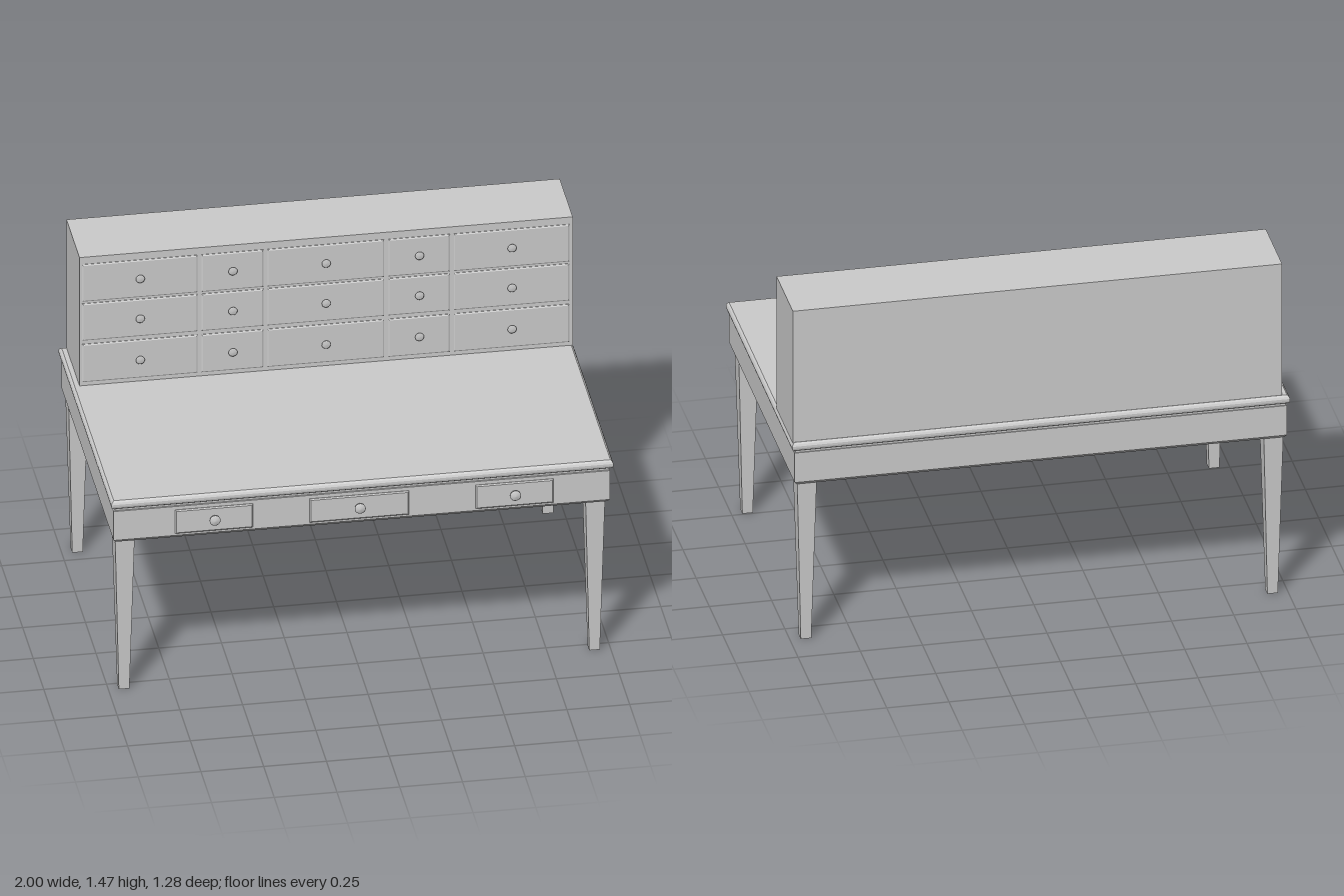
import * as THREE from 'three';

const material = new THREE.MeshStandardMaterial({ color: 0xcccccc });

// Skin a run of rectangles [y, x0, x1, z0, z1]; optionally cap both ends.
function loft(sections, caps = true) {
  const pos = [];
  const rings = sections.map(([y, x0, x1, z0, z1]) => [[x0, y, z1], [x1, y, z1], [x1, y, z0], [x0, y, z0]]);
  const quad = (a, b, c, d) => pos.push(...a, ...b, ...c, ...a, ...c, ...d);
  for (let s = 0; s < rings.length - 1; s++) {
    for (let i = 0; i < 4; i++) {
      const j = (i + 1) % 4;
      quad(rings[s][i], rings[s][j], rings[s + 1][j], rings[s + 1][i]);
    }
  }
  if (caps) {
    const [a, b, c, d] = rings[0];
    quad(d, c, b, a);
    quad(...rings[rings.length - 1]);
  }
  const geometry = new THREE.BufferGeometry();
  geometry.setAttribute('position', new THREE.Float32BufferAttribute(pos, 3));
  geometry.computeVertexNormals();
  return geometry;
}

function add(parent, name, geometry, x = 0, y = 0, z = 0) {
  const mesh = new THREE.Mesh(geometry, material);
  mesh.name = name;
  mesh.position.set(x, y, z);
  parent.add(mesh);
  return mesh;
}

// Rectangle inset evenly on all sides
const inset = (y, [x0, x1, z0, z1], d) => [y, x0 + d, x1 - d, z0 + d, z1 - d];

// Mushroom knob pointing to +z
function knobGeometry(r, depth) {
  const profile = [[0.6, 0], [0.45, 0.2], [0.45, 0.4], [0.95, 0.55], [1, 0.75], [0.8, 0.93], [0, 1]]
    .map(([a, b]) => new THREE.Vector2(a * r, b * depth));
  return new THREE.LatheGeometry(profile, 20).rotateX(Math.PI / 2);
}

// Bevelled drawer front with its knob
function addDrawer(parent, [x0, x1], [y0, y1], z, knobX, knobY, knob, depth) {
  const drawer = new THREE.Group();
  drawer.name = 'drawer';
  const w = (x1 - x0) / 2, h = (y1 - y0) / 2, rect = [-w, w, -h, h];
  const front = loft([inset(-0.005, rect, 0), inset(0.002, rect, 0), inset(depth, rect, 0.005)]);
  add(drawer, 'drawerFront', front.rotateX(Math.PI / 2), (x0 + x1) / 2, (y0 + y1) / 2, z);
  add(drawer, 'drawerKnob', knob, knobX, knobY, z + depth - 0.001);
  parent.add(drawer);
}

export function createModel() {
  const desk = new THREE.Group();
  desk.name = 'writingDesk';

  // Table top with softened edges, over a narrow recessed moulding
  const top = [-1, 1, -0.64, 0.617];
  add(desk, 'tableTop', loft([
    inset(0.85, top, 0.009), inset(0.856, top, 0.002), inset(0.863, top, 0),
    inset(0.872, top, 0), inset(0.88, top, 0.004), inset(0.886, top, 0.011),
  ]));
  add(desk, 'topMoulding', loft([inset(0.835, top, 0.016), inset(0.85, top, 0.016)]));

  // Hollow apron with a chamfered lower edge
  const apron = [-0.99, 0.988, -0.628, 0.608];
  add(desk, 'apron', loft([
    inset(0.695, apron, 0.011), inset(0.708, apron, 0), inset(0.838, apron, 0),
    inset(0.838, apron, 0.035), inset(0.695, apron, 0.035), inset(0.695, apron, 0.011),
  ], false));

  // Panel under the drawers; the rear stays open
  add(desk, 'bottomPanel', new THREE.BoxGeometry(1.93, 0.012, 0.83), 0, 0.702, 0.175);

  // Tapered square legs, running up inside the apron
  for (const x of [-0.938, 0.936]) {
    for (const z of [-0.578, 0.527]) {
      const leg = [0, 0.021, 0.7, 0.039, 0.836, 0.039];
      const sections = [0, 2, 4].map((i) => [leg[i], -leg[i + 1], leg[i + 1], -leg[i + 1], leg[i + 1]]);
      add(desk, 'leg', loft(sections), x, 0, z);
    }
  }

  // Apron drawers
  const bigKnob = knobGeometry(0.022, 0.031);
  for (const [x0, x1, kx] of [[-0.745, -0.435, -0.59], [-0.21, 0.187, -0.012], [0.452, 0.762, 0.607]]) {
    addDrawer(desk, [x0, x1], [0.717, 0.823], 0.608, kx, 0.775, bigKnob, 0.006);
  }

  // Upper cabinet with a grid of small drawers
  const cabinet = new THREE.Group();
  cabinet.name = 'upperCabinet';
  desk.add(cabinet);
  add(cabinet, 'cabinetCase', new THREE.BoxGeometry(1.965, 0.583, 0.308), 0.0125, 1.1735, -0.474);
  const smallKnob = knobGeometry(0.018, 0.014);
  const columns = [[-0.96, -0.5], [-0.484, -0.238], [-0.222, 0.243], [0.26, 0.505], [0.521, 0.981]];
  const rows = [[0.903, 1.073, 0.988], [1.09, 1.256, 1.174], [1.266, 1.433, 1.354]];
  for (const column of columns) {
    for (const [y0, y1, knobY] of rows) {
      addDrawer(cabinet, column, [y0, y1], -0.32, (column[0] + column[1]) / 2, knobY, smallKnob, 0.005);
    }
  }
  return desk;
}
